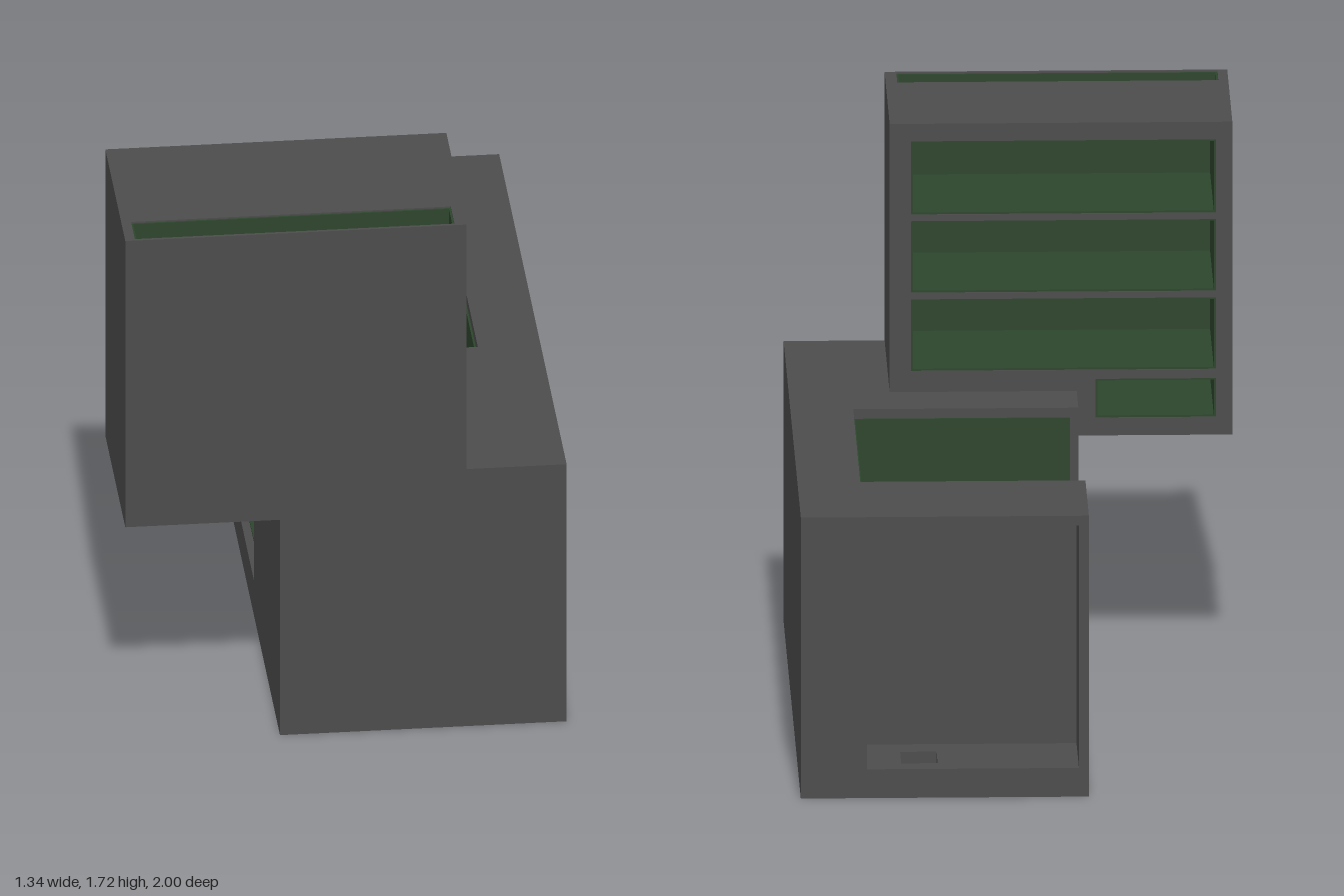
import * as THREE from 'three';

const grey = new THREE.MeshStandardMaterial({ color: 0x4c4c4c });
const green = new THREE.MeshStandardMaterial({ color: 0x2d452d });

// Box given by its limits on each axis
function block(parent, name, mat, [x0, x1], [y0, y1], [z0, z1]) {
  const mesh = new THREE.Mesh(new THREE.BoxGeometry(x1 - x0, y1 - y0, z1 - z0), mat);
  mesh.position.set((x0 + x1) / 2, (y0 + y1) / 2, (z0 + z1) / 2);
  mesh.name = name;
  parent.add(mesh);
  return mesh;
}

function rect(Type, [x0, x1], [y0, y1]) {
  return new Type([[x0, y0], [x1, y0], [x1, y1], [x0, y1]].map(p => new THREE.Vector2(...p)));
}

// Slab with rectangular openings, extruded along z
function piercedSlab(name, xs, ys, depth, openings) {
  const shape = rect(THREE.Shape, xs, ys);
  openings.forEach(([hx, hy]) => shape.holes.push(rect(THREE.Path, hx, hy)));
  const mesh = new THREE.Mesh(new THREE.ExtrudeGeometry(shape, { depth, bevelEnabled: false }), grey);
  mesh.name = name;
  return mesh;
}

// Thin green panels on the inside of a recess, leaving the named sides open
function lining(parent, name, x, y, z, open) {
  const t = 0.006;
  const group = new THREE.Group();
  group.name = name;
  const sides = {
    left: [[x[1] - t, x[1]], y, z], right: [[x[0], x[0] + t], y, z],
    top: [x, [y[1] - t, y[1]], z], bottom: [x, [y[0], y[0] + t], z],
    front: [x, y, [z[1] - t, z[1]]], back: [x, y, [z[0], z[0] + t]],
  };
  for (const side in sides) {
    if (!open.includes(side)) block(group, side + 'Panel', green, ...sides[side]);
  }
  parent.add(group);
}

function createCounter() {
  const g = new THREE.Group();
  g.name = 'counter';
  const X = [-0.2, 0.67], H = [0, 0.88];

  // Niche in the back end, with a drain hole through its floor
  block(g, 'nicheThickWall', grey, [0.47, 0.67], [0.09, 0.88], [-1, -0.72]);
  block(g, 'nicheThinWall', grey, [-0.2, -0.17], [0.09, 0.88], [-1, -0.72]);
  block(g, 'nicheTop', grey, [-0.17, 0.47], [0.85, 0.88], [-1, -0.72]);
  const floor = piercedSlab('nicheFloor', X, [0.72, 1], 0.09, [[[0.255, 0.365], [0.805, 0.935]]]);
  floor.rotation.x = -Math.PI / 2;
  g.add(floor);
  block(g, 'nicheRearWall', grey, X, H, [-0.72, -0.6]);

  // Shelf bay, open at the top and on one side
  block(g, 'bayWall', grey, [0.48, 0.67], H, [-0.6, 0.22]);
  block(g, 'baySill', grey, [-0.2, 0.48], [0, 0.12], [-0.6, 0.22]);
  lining(g, 'bayLining', [-0.175, 0.48], [0.12, 0.85], [-0.6, 0.22], ['top', 'right']);
  for (const y of [0.36, 0.62]) {
    block(g, 'bayShelf', green, [-0.175, 0.475], [y - 0.025, y], [-0.595, 0.215]);
  }

  // Solid front end
  block(g, 'counterFront', grey, X, H, [0.22, 0.995]);
  return g;
}

function createCabinet() {
  const g = new THREE.Group();
  g.name = 'upperCabinet';
  const X = [-0.67, 0.365];

  // Cubbies facing the back: three wide ones and a short low one
  const wide = [-0.62, 0.3];
  const cubbies = [
    [wide, [1.435, 1.665]],
    [wide, [1.19, 1.415]],
    [wide, [0.945, 1.17]],
    [[-0.62, -0.257], [0.795, 0.917]],
  ];
  const frame = piercedSlab('cabinetFrame', X, [0.74, 1.72], 0.44, cubbies);
  frame.position.z = 0.41;
  g.add(frame);
  for (const [x, y] of cubbies) lining(g, 'cubbyLining', x, y, [0.415, 0.85], ['back']);

  // Front panel with a long trough in its top
  const trough = [-0.64, 0.33], base = 1.5;
  block(g, 'cabinetFront', grey, X, [0.74, base], [0.85, 1]);
  block(g, 'troughBackWall', grey, X, [base, 1.72], [0.85, 0.88]);
  block(g, 'troughFrontWall', grey, X, [base, 1.72], [0.99, 1]);
  block(g, 'troughEnd', grey, [X[0], trough[0]], [base, 1.72], [0.88, 0.99]);
  block(g, 'troughEnd', grey, [trough[1], X[1]], [base, 1.72], [0.88, 0.99]);
  lining(g, 'troughLining', trough, [base, 1.715], [0.88, 0.99], ['top']);
  return g;
}

export function createModel() {
  const model = new THREE.Group();
  model.name = 'counterWithCabinet';
  model.add(createCounter(), createCabinet());
  return model;
}
